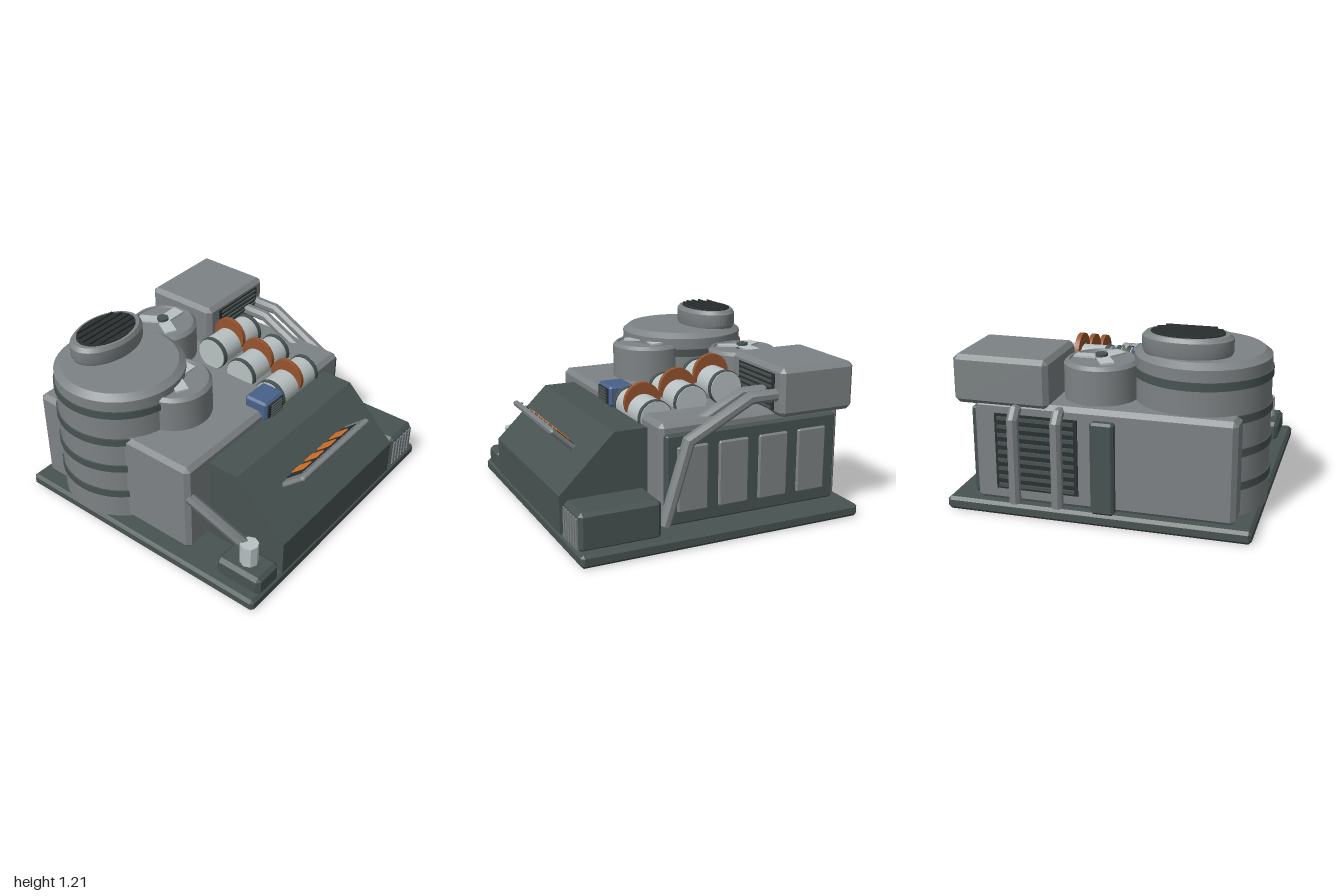
import * as THREE from 'three';
import { toCreasedNormals } from 'three/addons/utils/BufferGeometryUtils.js';
import { ConvexGeometry } from 'three/addons/geometries/ConvexGeometry.js';

const mat = (name, color) => Object.assign(new THREE.MeshStandardMaterial({ color }), { name });

export function createModel() {
  const root = new THREE.Group();
  root.name = 'powerStation';
  const grey = mat('steelGrey', 0x7d8284), dark = mat('darkSlate', 0x485352);
  const black = mat('ventBlack', 0x2b2f30), pale = mat('paleMetal', 0xb9c1c2);
  const orange = mat('lampOrange', 0xe07828), rust = mat('strapRust', 0x96542f);
  const blue = mat('boxBlue', 0x48618a), mid = mat('pipeGrey', 0x686d6f);

  const add = (name, geo, m, parent = root) => {
    const mesh = new THREE.Mesh(geo, m);
    mesh.name = name;
    parent.add(mesh);
    return mesh;
  };

  // Box from min/max corners, with chamfered edges when b > 0
  function box(name, m, [x0, x1], [y0, y1], [z0, z1], b = 0, parent = root) {
    const h = [(x1 - x0) / 2, (y1 - y0) / 2, (z1 - z0) / 2];
    let geo;
    if (b) {
      const pts = [];
      for (const sx of [-1, 1]) for (const sy of [-1, 1]) for (const sz of [-1, 1])
        for (let k = 0; k < 3; k++) {
          const c = h.map((v, i) => (i === k ? v : v - b));
          pts.push(new THREE.Vector3(sx * c[0], sy * c[1], sz * c[2]));
        }
      geo = new ConvexGeometry(pts);
    } else geo = new THREE.BoxGeometry(2 * h[0], 2 * h[1], 2 * h[2]);
    geo.translate((x0 + x1) / 2, (y0 + y1) / 2, (z0 + z1) / 2);
    return add(name, geo, m, parent);
  }

  // Turned solid from [radius, height] pairs, optionally squashed in z
  function turned(name, m, profile, [x, y, z], sides = 40, squash = 1) {
    let geo = new THREE.LatheGeometry(profile.map(p => new THREE.Vector2(...p)), sides);
    geo.scale(1, 1, squash);
    geo = toCreasedNormals(geo, 0.5);
    return add(name, geo.translate(x, y, z), m);
  }

  // Eight-sided pipe with mitred bends
  function pipe(name, m, path, r) {
    const n = 8, P = path.map(p => new THREE.Vector3(...p));
    const D = P.slice(1).map((p, i) => p.clone().sub(P[i]).normalize());
    const u = new THREE.Vector3(D[0].y, D[0].z, D[0].x).cross(D[0]).normalize();
    const v = D[0].clone().cross(u);
    let ring = [];
    for (let k = 0; k < n; k++) {
      const a = (k + 0.5) / n * Math.PI * 2;
      ring.push(P[0].clone().addScaledVector(u, r * Math.cos(a)).addScaledVector(v, r * Math.sin(a)));
    }
    const pos = ring.flatMap(q => q.toArray()), idx = [], last = P.length - 1;
    for (let i = 1; i <= last; i++) {
      const d = D[i - 1], normal = d.clone().add(D[i] || d);
      ring = ring.map(q => q.clone().addScaledVector(d, P[i].clone().sub(q).dot(normal) / d.dot(normal)));
      pos.push(...ring.flatMap(q => q.toArray()));
      for (let k = 0; k < n; k++) {
        const a = (i - 1) * n + k, b = (i - 1) * n + (k + 1) % n;
        idx.push(a, b, b + n, a, b + n, a + n);
      }
    }
    for (let k = 1; k < n - 1; k++) idx.push(0, k + 1, k, last * n, last * n + k, last * n + k + 1);
    const geo = new THREE.BufferGeometry();
    geo.setAttribute('position', new THREE.Float32BufferAttribute(pos, 3));
    geo.setIndex(idx);
    return add(name, toCreasedNormals(geo, 0.4), m);
  }

  // Dark vent with horizontal slats, facing along z towards dir
  function vent(name, x, y, z, dir, count, slatMat) {
    const span = (a, b) => [z + Math.min(a * dir, b * dir), z + Math.max(a * dir, b * dir)];
    box(name, black, x, y, span(-0.01, 0.008));
    const step = (y[1] - y[0]) / count;
    for (let i = 0; i < count; i++) {
      const c = y[0] + (i + 0.5) * step;
      box(name + 'Slat', slatMat, [x[0] + 0.02, x[1] - 0.02], [c - step * 0.2, c + step * 0.2], span(0, 0.02));
    }
  }

  // Base, main block and right wall panels
  box('base', dark, [-0.975, 0.995], [0, 0.085], [-0.945, 0.99], 0.02);
  box('mainBlock', grey, [-0.865, 0.8], [0.08, 0.745], [-0.895, 0.4], 0.03);
  box('sideFrame', dark, [0.76, 0.84], [0.1, 0.68], [-0.84, 0.375], 0.012);
  for (let i = 0; i < 4; i++) {
    const z = 0.2 - i * 0.285;
    box('sidePanel', grey, [0.82, 0.855], [0.18, 0.605], [z - 0.105, z + 0.105], 0.01);
  }

  // Sloped front console
  const side = new THREE.Shape([[0.36, 0.08], [0.985, 0.08], [0.985, 0.325], [0.62, 0.68], [0.36, 0.68]]
    .map(p => new THREE.Vector2(...p)));
  const wedge = new THREE.ExtrudeGeometry(side, { depth: 1.275, bevelEnabled: false });
  add('console', wedge.rotateY(-Math.PI / 2).translate(0.62, 0, 0), dark);

  // Tilted control panel with lamps and rivets
  const panel = new THREE.Group();
  panel.name = 'controlPanel';
  panel.position.set(-0.018, 0.588, 0.857);
  panel.rotation.x = -0.745;
  root.add(panel);
  box('panelFrame', grey, [-0.385, 0.385], [-0.02, 0.02], [-0.108, 0.108], 0.015, panel);
  box('panelFace', black, [-0.318, 0.318], [0.015, 0.024], [-0.1, 0.045], 0, panel);
  for (let i = 0; i < 4; i++) {
    const x = -0.215 + i * 0.142;
    box('lamp', orange, [x - 0.043, x + 0.043], [0.02, 0.032], [-0.095, 0.02], 0, panel);
  }
  for (let i = 0; i < 8; i++)
    add('rivet', new THREE.CylinderGeometry(0.009, 0.009, 0.015, 8).translate(-0.315 + i * 0.09, 0.022, 0.078), mid, panel);

  // Front left valve: plinth, post and feed pipe
  box('valvePlinth', dark, [-0.905, -0.69], [0.07, 0.21], [0.65, 0.985], 0.025);
  add('valvePost', toCreasedNormals(new THREE.CylinderGeometry(0.06, 0.06, 0.16, 8), 0.4).translate(-0.797, 0.28, 0.83), pale);
  pipe('valvePipe', mid, [[-0.82, 0.5, 0.36], [-0.83, 0.46, 0.54], [-0.79, 0.31, 0.82]], 0.04);

  // Front right heater box with ribs
  box('heaterBox', dark, [0.66, 0.935], [0.07, 0.32], [0.445, 0.978], 0.025);
  for (let i = 0; i < 6; i++) {
    const x = 0.695 + i * 0.041;
    box('heaterRib', grey, [x - 0.011, x + 0.011], [0.09, 0.285], [0.965, 0.988]);
  }

  // Large tank with bands and an oval exhaust
  const tank = [-0.557, 0, -0.42];
  turned('tank', grey, [[0, 0.08], [0.43, 0.08], [0.43, 1.03], [0.385, 1.065], [0, 1.065]], tank, 48);
  for (const y of [0.285, 0.5, 0.715, 0.93])
    turned('tankBand', dark, [[0.42, y - 0.026], [0.44, y - 0.026], [0.44, y + 0.026], [0.42, y + 0.026]], tank, 48);
  const oval = [-0.493, 0, -0.59];
  turned('exhaust', grey, [[0, 1.05], [0.265, 1.05], [0.283, 1.085], [0.283, 1.165], [0.26, 1.19], [0, 1.19]], oval, 40, 0.65);
  turned('exhaustGrille', black, [[0.23, 1.185], [0.23, 1.196], [0, 1.196]], oval, 40, 0.66);
  for (let i = -2; i <= 2; i++) {
    const z = oval[2] + i * 0.05, w = 0.215 * Math.sqrt(1 - (i * 0.05 / 0.152) ** 2);
    box('exhaustSlat', black, [oval[0] - w, oval[0] + w], [1.19, 1.208], [z - 0.006, z + 0.006]);
  }

  // Roof fans
  for (const [x, z, r] of [[0.055, -0.59, 0.235], [-0.417, -0.085, 0.252]]) {
    turned('fanDrum', grey, [[0, 0.7], [r, 0.7], [r, 0.965], [r - 0.022, 0.988], [r - 0.035, 0.988],
      [r - 0.04, 0.978], [0, 0.978]], [x, 0, z]);
    for (let i = 0; i < 3; i++) {
      const blade = new THREE.BoxGeometry(0.145, 0.012, 0.085).translate(0.098, 0, 0);
      add('fanBlade', blade.rotateX(0.06).rotateY(i * Math.PI * 2 / 3).translate(x, 0.995, z), pale);
    }
    turned('fanHub', dark, [[0, 0.97], [0.04, 0.97], [0.04, 1.018], [0, 1.018]], [x, 0, z], 16);
  }

  // Stepped row of canisters lying along x, each with a strap disc
  for (let i = 0; i < 3; i++) {
    const y = 0.845 - i * 0.07, z = -0.197 + i * 0.248;
    const lying = (name, m, x0, x1, r, dy = 0) => {
      const g = new THREE.CylinderGeometry(r, r, x1 - x0, 32).rotateZ(Math.PI / 2);
      add(name, g.translate((x0 + x1) / 2, y + dy, z), m);
    };
    lying('canister', pale, 0.105, 0.538, 0.108);
    lying('canisterRing', dark, 0.112, 0.143, 0.114);
    lying('canisterRing', dark, 0.5, 0.531, 0.114);
    lying('canisterStrap', rust, 0.302, 0.333, 0.125, 0.058);
  }

  // Blue junction box
  box('junctionBox', blue, [-0.105, 0.1], [0.68, 0.818], [0.255, 0.43], 0.015);
  vent('junctionVent', [-0.08, 0.075], [0.7, 0.8], 0.43, 1, 5, dark);

  // Raised duct housing at the back right
  box('ductHousing', grey, [0.302, 0.925], [0.717, 1.03], [-0.912, -0.37], 0.03);
  vent('ductVent', [0.41, 0.84], [0.75, 0.985], -0.37, 1, 7, dark);

  // Pipes from the housing down the right side
  pipe('outerPipe', grey, [[0.855, 0.855, -0.42], [0.855, 0.855, -0.19], [0.855, 0.635, 0.235], [0.855, 0.12, 0.395]], 0.04);
  pipe('innerPipe', grey, [[0.728, 0.855, -0.42], [0.728, 0.855, -0.19], [0.728, 0.69, 0.13]], 0.04);

  // Back wall: vent, upright pipes and cabinet
  vent('backVent', [0.12, 0.66], [0.17, 0.67], -0.895, -1, 9, dark);
  for (const x of [0.235, 0.515])
    pipe('backPipe', grey, [[x, 0.705, -0.82], [x, 0.705, -0.92], [x, 0.655, -0.96], [x, 0.11, -0.96]], 0.037);
  box('backCabinet', dark, [-0.12, 0.03], [0.08, 0.68], [-0.945, -0.86], 0.015);

  return root;
}
